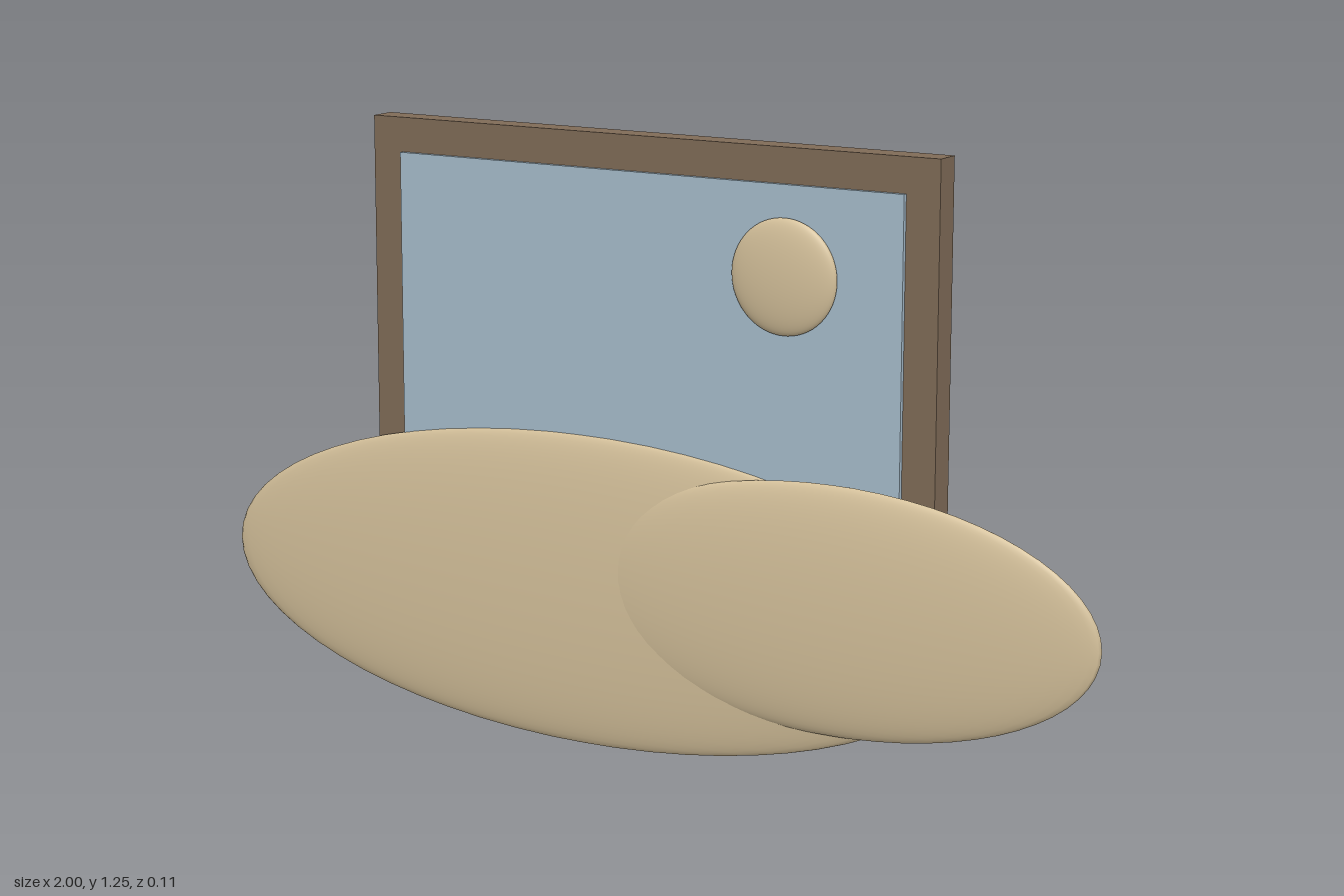
import * as THREE from 'three';

export function createModel() {
  const model = new THREE.Group();
  model.name = 'framedLandscape';

  const material = (name, color) => {
    const m = new THREE.MeshStandardMaterial({ color });
    m.name = name;
    return m;
  };
  const wood = material('brown wood', 0x7f6b57);
  const sky = material('pale blue', 0xa6bccb);
  const sand = material('sand', 0xd5c19b);

  const add = (name, geometry, mat, x, y, z) => {
    const mesh = new THREE.Mesh(geometry, mat);
    mesh.name = name;
    mesh.position.set(x, y, z);
    model.add(mesh);
    return mesh;
  };

  // Smooth flattened ellipsoid given by its three radii
  const ellipsoid = (name, rx, ry, rz, x, y, z) =>
    add(name, new THREE.SphereGeometry(1, 48, 32).scale(rx, ry, rz), sand, x, y, z);

  // Backing board, with the sky panel standing slightly proud of it
  add('frameBoard', new THREE.BoxGeometry(1.28, 0.925, 0.057), wood, 0, 0.7875, -0.0285);
  add('skyPanel', new THREE.BoxGeometry(1.14, 0.785, 0.009), sky, 0, 0.7875, 0.0055);

  // Sun disc and the two overlapping dunes
  ellipsoid('sun', 0.114, 0.114, 0.022, 0.32, 1.003, 0.015);
  ellipsoid('largeDune', 0.857, 0.321, 0.035, -0.143, 0.322, 0.008);
  ellipsoid('smallDune', 0.571, 0.25, 0.035, 0.428, 0.361, 0.022);

  return model;
}
